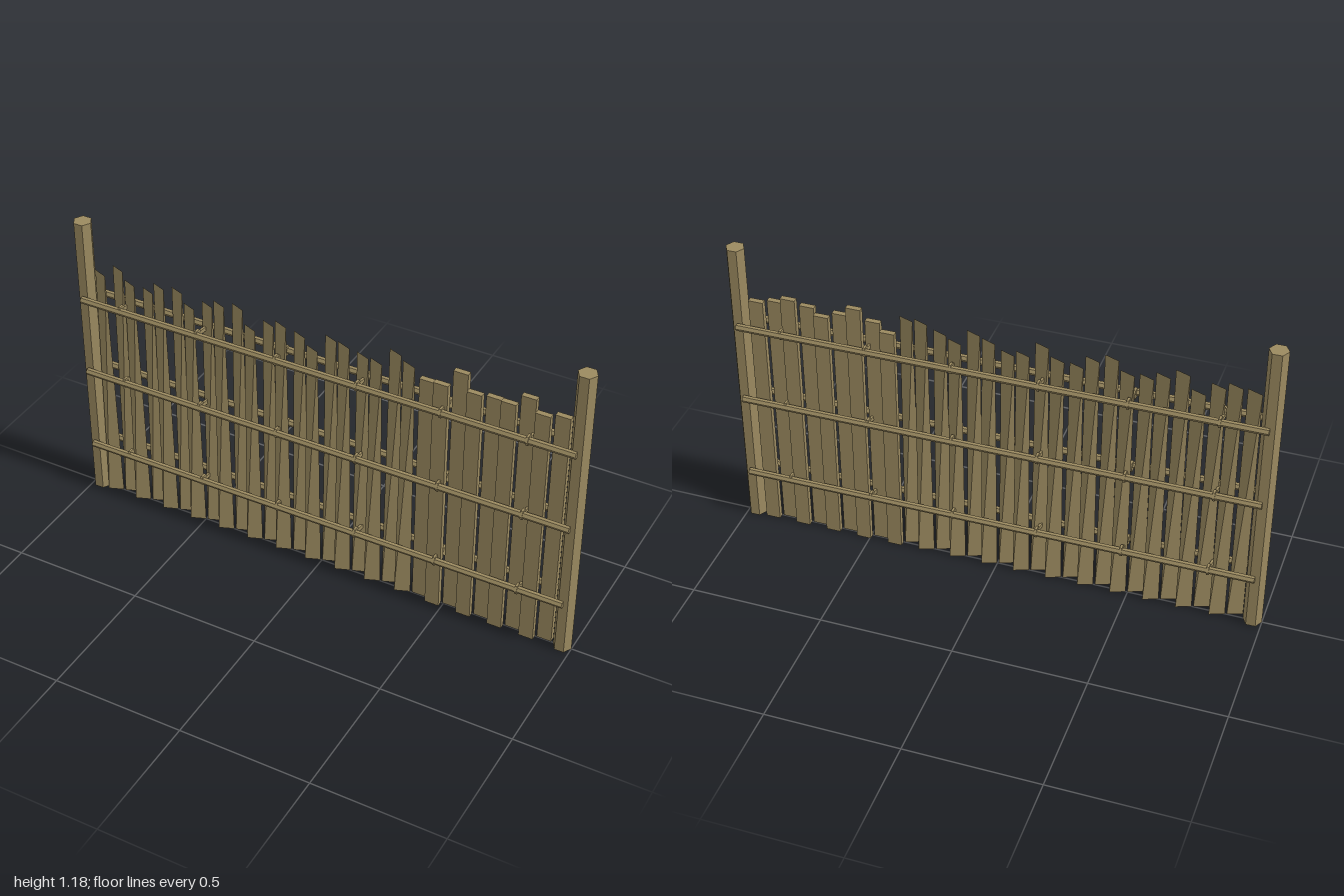
import * as THREE from 'three';
import { ConvexGeometry } from 'three/addons/geometries/ConvexGeometry.js';

export function createModel() {
  const fence = new THREE.Group();
  fence.name = 'woodenFence';

  const wood = new THREE.MeshStandardMaterial({ color: 0x9b8a60, flatShading: true });
  wood.name = 'weatheredWood';

  const add = (name, geometry, x, y, z) => {
    const mesh = new THREE.Mesh(geometry, wood);
    mesh.name = name;
    mesh.position.set(x, y, z);
    fence.add(mesh);
    return mesh;
  };

  // Hexagonal end posts, one corner pointing along the fence
  const postHeight = 1.182;
  const postGeometry = new THREE.CylinderGeometry(0.035, 0.035, postHeight, 6).rotateY(Math.PI / 2);
  add('rightPost', postGeometry, -0.965, postHeight / 2, 0);
  add('leftPost', postGeometry, 0.965, postHeight / 2, 0);

  // Uneven planks in two staggered rows
  const heights = [
    0.99, 1.015, 0.985, 0.96, 1.01, 1.0, 0.965, 0.98, 1.015, 1.01,
    0.955, 0.98, 1.01, 0.975, 0.95, 1.0, 1.005, 0.97, 0.98, 1.025,
    1.01, 0.955, 0.975, 1.03, 0.98, 0.97, 0.985, 1.015, 0.98, 0.98,
  ];
  const w = 0.055, d = 0.021;
  // Split plank: a sliver whose top and bottom edges cross on opposite diagonals
  const splitPlank = (h) => new ConvexGeometry([
    new THREE.Vector3(-w / 2, h / 2, -d / 2),
    new THREE.Vector3(w / 2, h / 2, d / 2),
    new THREE.Vector3(-w / 2, -h / 2, d / 2),
    new THREE.Vector3(w / 2, -h / 2, -d / 2),
  ]);
  heights.forEach((h, i) => {
    const geometry = i < 21 ? splitPlank(h) : new THREE.BoxGeometry(w, h, d);
    add('plank' + (i + 1), geometry, -0.898 + i * 0.0618, h / 2, i % 2 ? -0.011 : 0.011);
  });

  // Three pairs of rails, with lashings tying each pair together
  const railGeometry = new THREE.CylinderGeometry(0.0135, 0.0135, 1.93, 6).rotateZ(Math.PI / 2);
  const collarGeometry = new THREE.CylinderGeometry(0.021, 0.021, 0.009, 6)
    .rotateY(Math.PI / 2).rotateZ(Math.PI / 2).rotateX(Math.PI / 2);
  const barGeometry = new THREE.BoxGeometry(0.009, 0.016, 0.07);
  for (const y of [0.22, 0.556, 0.872]) {
    for (const side of [1, -1]) {
      const rail = add(side > 0 ? 'frontRail' : 'backRail', railGeometry, 0, y, side * 0.039);
      rail.rotation.y = 0.004;
    }
    for (let i = 0; i < 6; i++) {
      const x = -0.8 + i * 0.319;
      add('lashingBar', barGeometry, x, y, 0).rotation.y = -0.1;
      add('frontLashing', collarGeometry, x - 0.003, y, 0.032);
      add('backLashing', collarGeometry, x + 0.003, y, -0.032);
    }
  }
  return fence;
}
